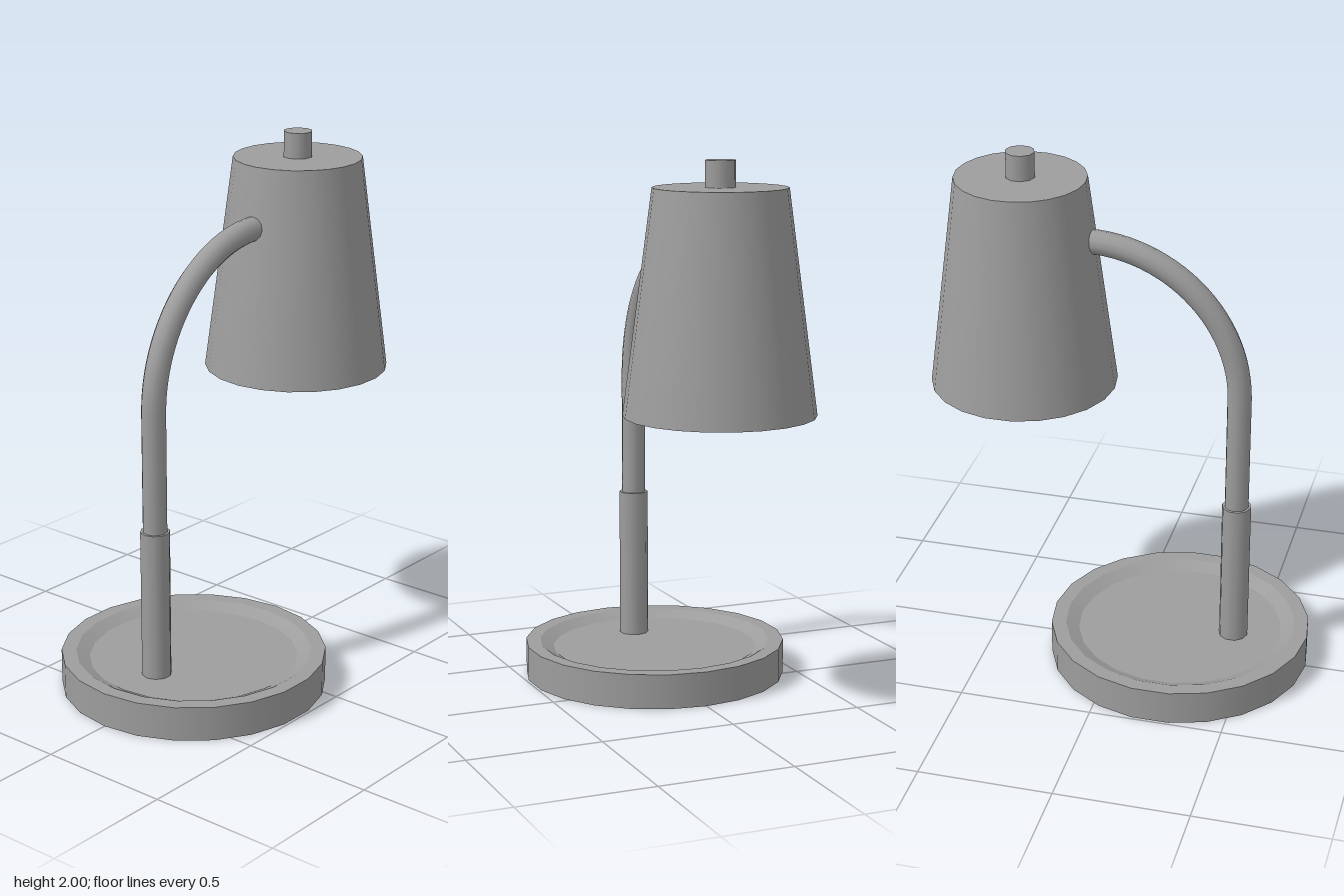
import * as THREE from 'three';
import { mergeGeometries } from 'three/addons/utils/BufferGeometryUtils.js';

const material = new THREE.MeshStandardMaterial({ color: 0x9d9d9d, side: THREE.DoubleSide });

// Turned part: one lathe band per profile segment, so profile corners stay sharp
function turned(name, x, sides, profile) {
  const points = profile.map(([r, y]) => new THREE.Vector2(r, y));
  const bands = points.slice(1).map((p, i) =>
    new THREE.LatheGeometry([points[i], p], sides, Math.PI / 2));
  const geometry = mergeGeometries(bands);
  geometry.normalizeNormals();
  const mesh = new THREE.Mesh(geometry, material);
  mesh.name = name;
  mesh.position.x = x;
  return mesh;
}

export function createModel() {
  const group = new THREE.Group();
  group.name = 'deskLamp';

  const baseX = -0.227, postX = -0.436, shadeX = 0.377;
  const bendY = 1.117, bendRadius = 0.565;

  // Hollow base, open underneath, with a shallow dish on top
  group.add(turned('base', baseX, 22, [
    [0.495, 0], [0.495, 0.13], [0.44, 0.13], [0.39, 0.105], [0, 0.105],
  ]));

  // Post sleeve, its foot showing slightly under the dish
  group.add(turned('post', postX, 10, [
    [0, 0.09], [0.055, 0.09], [0.055, 0.67], [0, 0.67],
  ]));

  // Arm: straight rise, then a quarter bend into the shade
  const path = new THREE.CurvePath();
  path.add(new THREE.LineCurve3(
    new THREE.Vector3(postX, 0.6, 0), new THREE.Vector3(postX, bendY, 0)));
  const k = 0.5523 * bendRadius;
  const endX = postX + bendRadius, endY = bendY + bendRadius;
  path.add(new THREE.CubicBezierCurve3(
    new THREE.Vector3(postX, bendY, 0), new THREE.Vector3(postX, bendY + k, 0),
    new THREE.Vector3(endX - k, endY, 0), new THREE.Vector3(endX, endY, 0)));
  const arm = new THREE.Mesh(new THREE.TubeGeometry(path, 40, 0.045, 12), material);
  arm.name = 'arm';
  group.add(arm);

  // Tapered shade with a slightly recessed diffuser below
  group.add(turned('shade', shadeX, 22, [
    [0.335, 1.135], [0.335, 1.102], [0.345, 1.102], [0.24, 1.905], [0, 1.905],
  ]));
  group.add(turned('diffuser', shadeX, 22, [[0, 1.13], [0.336, 1.13]]));

  // Knob on top of the shade
  group.add(turned('knob', shadeX, 10, [[0.054, 1.9], [0.054, 2], [0, 2]]));

  return group;
}
